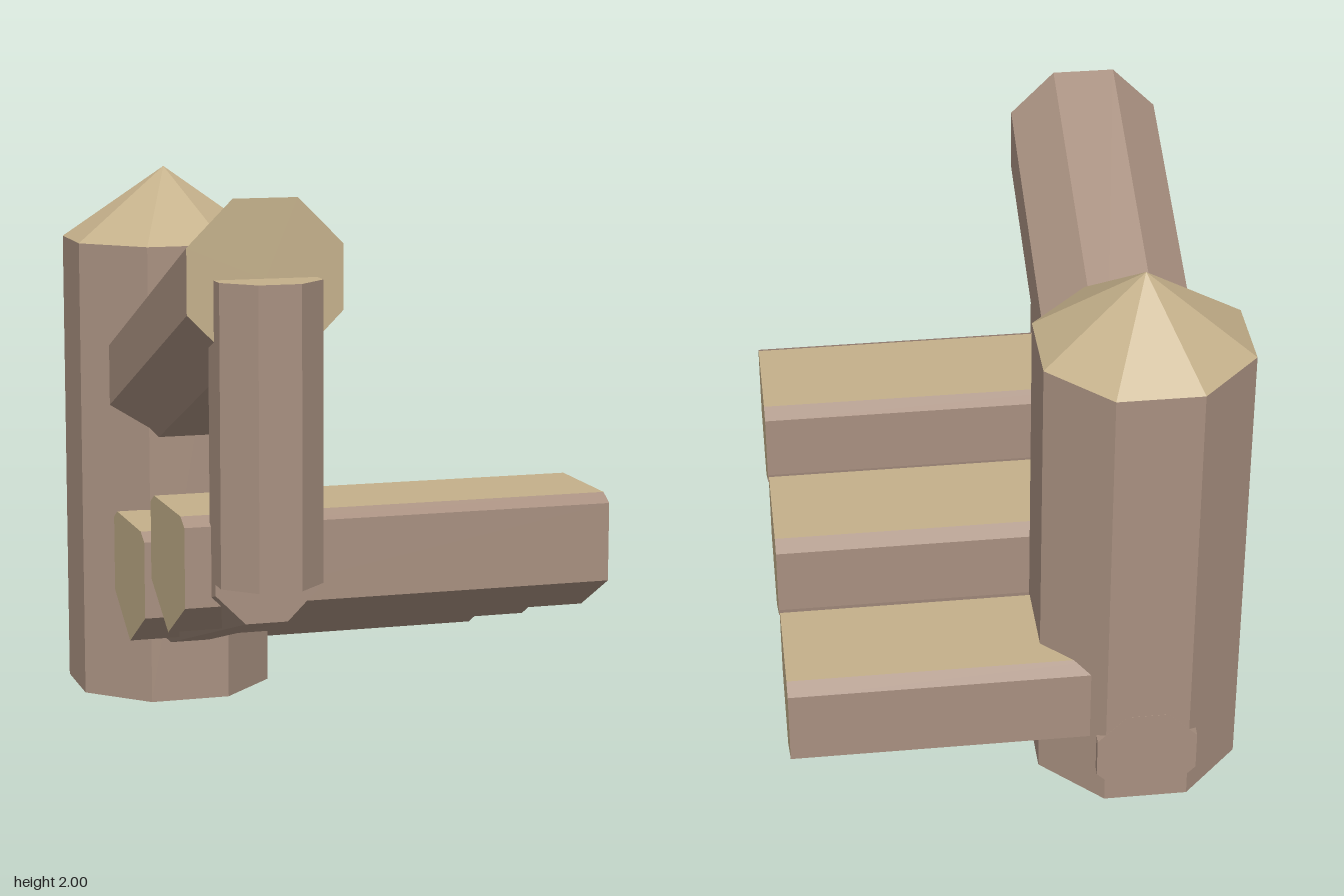
import * as THREE from 'three';

const bark = new THREE.MeshStandardMaterial({ color: 0xa89080, flatShading: true });
const cut = new THREE.MeshStandardMaterial({ color: 0xc4b08a, flatShading: true });
const AXIS_X = -0.457;

// Upright octagonal log, given the half width across its flats
function octagonLog(halfWidth, length) {
  return new THREE.CylinderGeometry(
    halfWidth / Math.cos(Math.PI / 8), halfWidth / Math.cos(Math.PI / 8),
    length, 8, 1, false, Math.PI / 8);
}

// Octagonal beam along z with vertical ends, sheared so it climbs to the front
function slopedBeam(halfWidth, zBack, zFront, yFront, slope) {
  const geometry = octagonLog(halfWidth, zFront - zBack);
  geometry.rotateX(Math.PI / 2);
  geometry.translate(AXIS_X, yFront, (zBack + zFront) / 2);
  const p = geometry.attributes.position;
  for (let i = 0; i < p.count; i++) {
    p.setY(i, p.getY(i) + slope * (p.getZ(i) - zFront));
  }
  geometry.computeVertexNormals();
  return geometry;
}

// Split log along x: flat bevelled tread on top, pointed underside
function stepGeometry(xStart, xEnd) {
  const shape = new THREE.Shape([
    [0, -0.45], [0.25, -0.31], [0.25, -0.03], [0.195, 0],
    [-0.195, 0], [-0.25, -0.03], [-0.25, -0.31],
  ].map(([x, y]) => new THREE.Vector2(x, y)));
  const geometry = new THREE.ExtrudeGeometry(shape, { depth: xEnd - xStart, bevelEnabled: false });
  geometry.rotateY(Math.PI / 2);
  geometry.translate(xStart, 0, 0);
  // Tread and sawn ends show cut wood, the rest bark
  const n = geometry.attributes.normal;
  geometry.clearGroups();
  for (let i = 0; i < n.count; i += 3) {
    const isCut = Math.abs(n.getX(i)) > 0.9 || n.getY(i) > 0.95;
    geometry.addGroup(i, 3, isCut ? 1 : 0);
  }
  return geometry;
}

export function createModel() {
  const model = new THREE.Group();
  model.name = 'logStaircase';

  function add(name, geometry, material, x = 0, y = 0, z = 0) {
    const mesh = new THREE.Mesh(geometry, material);
    mesh.name = name;
    mesh.position.set(x, y, z);
    model.add(mesh);
  }

  // Main post with pointed cap
  add('mainPost', octagonLog(0.3625, 1.73), bark, AXIS_X, 0.865, -0.637);
  add('postCap', new THREE.ConeGeometry(0.3625 / Math.cos(Math.PI / 8), 0.27, 8, 1, true, Math.PI / 8),
    cut, AXIS_X, 1.865, -0.637);

  // Short post holding up the front of the handrail
  add('railPost', octagonLog(0.18, 1.035), [bark, cut, bark], AXIS_X, 1.2125, 0.82);

  // Handrail and the beam carrying the steps
  add('handrail', slopedBeam(0.272, -0.6, 0.82, 1.728, 0.4), [bark, cut, cut]);
  add('stringer', slopedBeam(0.18, -1, 0.82, 0.73, 0.294), bark);

  // Steps; the lowest one starts inside the main post
  for (let i = 0; i < 3; i++) {
    add('step' + (i + 1), stepGeometry(i === 2 ? -0.46 : -0.73, 0.815), [bark, cut],
      0, 0.915 - 0.173 * i, 0.515 - 0.607 * i);
  }
  return model;
}
